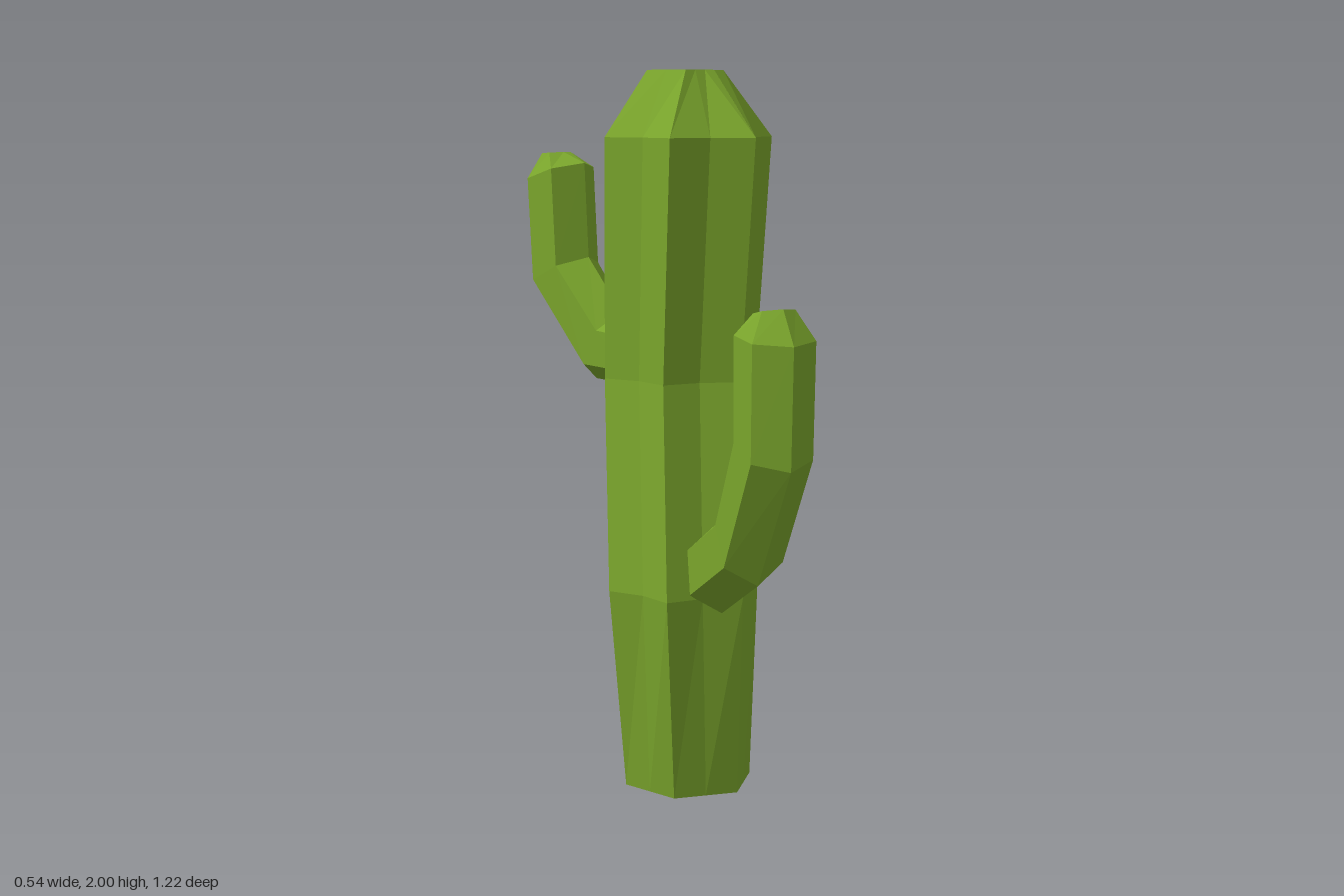
import * as THREE from 'three';

const green = new THREE.MeshStandardMaterial({ color: 0x7aa52c, flatShading: true });

// Skin a list of equal-sized point rings and close both ends
function loft(name, rings) {
  const pos = [];
  const tri = (...pts) => pts.forEach((p) => pos.push(p.x, p.y, p.z));
  const n = rings[0].length;
  for (let r = 0; r < rings.length - 1; r++) {
    const a = rings[r], b = rings[r + 1];
    for (let i = 0; i < n; i++) {
      const j = (i + 1) % n;
      tri(a[i], a[j], b[j]);
      tri(a[i], b[j], b[i]);
    }
  }
  const centre = (ring) => ring.reduce((s, p) => s.add(p), new THREE.Vector3()).divideScalar(n);
  const first = rings[0], last = rings[rings.length - 1];
  const c0 = centre(first), c1 = centre(last);
  for (let i = 0; i < n; i++) {
    const j = (i + 1) % n;
    tri(c0, first[j], first[i]);
    tri(c1, last[i], last[j]);
  }
  const geo = new THREE.BufferGeometry();
  geo.setAttribute('position', new THREE.Float32BufferAttribute(pos, 3));
  geo.computeVertexNormals();
  const mesh = new THREE.Mesh(geo, green);
  mesh.name = name;
  return mesh;
}

// Six-ribbed ring: rib corners with the points between them pulled inward
function ribRing([x, y, z, r, dent]) {
  return Array.from({ length: 12 }, (_, i) => {
    const a = (i * Math.PI) / 6, d = i % 2 ? r * dent : r;
    return new THREE.Vector3(x + d * Math.sin(a), y, z + d * Math.cos(a));
  });
}

function makeTrunk() {
  // x, y, z, radius, dent of each ring
  const rings = [
    [0.06, 0, 0.01, 0.185, 0.866],
    [0, 0.58, 0.048, 0.217, 0.77],
    [0.06, 1.16, -0.02, 0.22, 0.77],
    [0.06, 1.82, 0.01, 0.24, 0.77],
  ].map(ribRing);
  // Five-sided crown; the front rib meets the middle of its front edge
  const crown = [[0.048, 0.078], [0.115, 0.085], [0.16, -0.045], [0.06, -0.105], [-0.038, -0.055], [-0.02, 0.07]]
    .map(([x, z]) => new THREE.Vector3(x, 2, z));
  rings.push(crown.flatMap((p, i) => [p, p.clone().lerp(crown[(i + 1) % 6], 0.5)]));
  return loft('trunk', rings);
}

// Hexagonal arm bending upward in a vertical plane.
// Each section: outer reach, outer height, inner reach, inner height, half width
function makeArm(name, x0, dx, dz, sections) {
  const at = (s, y) => new THREE.Vector3(x0 + dx * s, y, dz * s);
  const side = new THREE.Vector3(dz, 0, -dx);
  return loft(name, sections.map(([so, yo, si, yi, w]) => {
    const outer = at(so, yo), inner = at(si, yi);
    const c = outer.clone().add(inner).multiplyScalar(0.5);
    const h = outer.clone().sub(c);
    return Array.from({ length: 6 }, (_, k) => {
      const a = (k * Math.PI) / 3;
      return c.clone().addScaledVector(h, Math.cos(a)).addScaledVector(side, w * Math.sin(a));
    });
  }));
}

export function createModel() {
  const group = new THREE.Group();
  group.name = 'cactus';
  group.add(
    makeTrunk(),
    makeArm('frontArm', 0.05, -0.39, 0.92, [
      [0.25, 0.54, 0.16, 0.75, 0.1],
      [0.467, 0.66, 0.36, 0.865, 0.1],
      [0.65, 0.99, 0.45, 1.07, 0.103],
      [0.66, 1.31, 0.45, 1.335, 0.105],
      [0.6, 1.4, 0.5, 1.38, 0.055],
    ]),
    makeArm('backArm', 0.08, 0, -1, [
      [0.17, 1.11, 0.17, 1.31, 0.085],
      [0.37, 1.12, 0.27, 1.32, 0.09],
      [0.59, 1.38, 0.4, 1.47, 0.1],
      [0.61, 1.68, 0.415, 1.74, 0.1],
      [0.56, 1.765, 0.5, 1.77, 0.05],
    ]),
  );
  return group;
}
